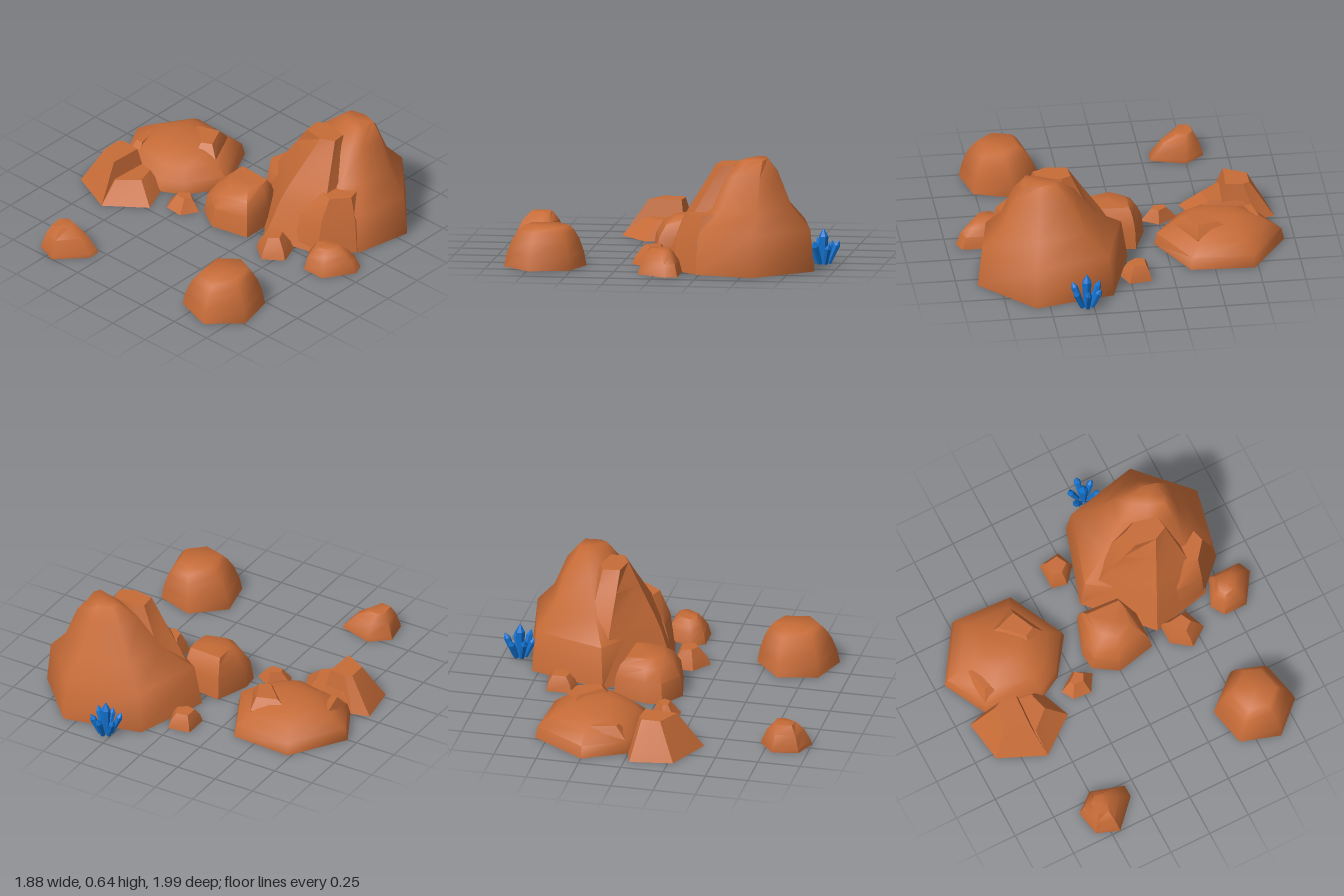
import * as THREE from 'three';
import { toCreasedNormals } from 'three/addons/utils/BufferGeometryUtils.js';

const rockMat = new THREE.MeshStandardMaterial({ color: 0xc66b37 });
rockMat.name = 'rust rock';
const crystalMat = new THREE.MeshStandardMaterial({ color: 0x1272d0 });
crystalMat.name = 'blue crystal';

// Closed stone: base outline blends to the top outline, profile = [height, blend].
// Outlines are [x, z] corners, clockwise from above.
function rock(name, base, top, profile, crease = 0.75) {
  const n = base.length;
  const rings = [[0, 0], ...profile].map(([y, t]) => base.map(([x, z], i) =>
    [x + (top[i][0] - x) * t, y, z + (top[i][1] - z) * t]));
  const pos = rings.flat(2);
  const index = [];
  for (let r = 0; r < rings.length - 1; r++) {
    for (let i = 0; i < n; i++) {
      const a = r * n + i, b = r * n + (i + 1) % n;
      index.push(a, a + n, b, b, a + n, b + n);
    }
  }
  // caps
  const cap = (ring, up) => {
    const c = pos.length / 3, s = rings.indexOf(ring) * n;
    pos.push(...[0, 1, 2].map(k => ring.reduce((sum, p) => sum + p[k], 0) / n));
    for (let i = 0; i < n; i++) {
      const a = s + i, b = s + (i + 1) % n;
      index.push(...(up ? [c, b, a] : [c, a, b]));
    }
  };
  cap(rings[0], false);
  cap(rings[rings.length - 1], true);
  const geo = new THREE.BufferGeometry();
  geo.setAttribute('position', new THREE.Float32BufferAttribute(pos, 3));
  geo.setIndex(index);
  const mesh = new THREE.Mesh(toCreasedNormals(geo, crease), rockMat);
  mesh.name = name;
  return mesh;
}

// One upright shard ringed by six leaning ones
function crystalCluster() {
  const group = new THREE.Group();
  group.name = 'crystalCluster';
  const shard = (h, r, angle, lean, offset) => {
    const profile = [[0, 0], [r * 0.7, 0], [r, h * 0.76], [0, h]].map(p => new THREE.Vector2(...p));
    const geo = new THREE.LatheGeometry(profile, 6).toNonIndexed();
    geo.computeVertexNormals();
    const mesh = new THREE.Mesh(geo, crystalMat);
    mesh.name = 'crystal';
    mesh.rotation.set(0, angle, lean, 'YXZ');
    mesh.position.set(Math.cos(angle) * offset, offset * 0.2, -Math.sin(angle) * offset);
    group.add(mesh);
  };
  shard(0.21, 0.028, 0, 0, 0);
  for (let i = 0; i < 6; i++) {
    shard(i % 2 ? 0.15 : 0.135, 0.02, Math.PI / 6 + i * Math.PI / 3, -0.42, 0.032);
  }
  group.position.set(0.29, 0, -0.9);
  return group;
}

export function createModel() {
  const model = new THREE.Group();
  model.name = 'rockField';

  // Tall rock: main peak, front peak and side ledge
  const tall = new THREE.Group();
  tall.name = 'tallRock';
  tall.add(
    rock('mainPeak',
      [[0.12, -0.79], [0.58, -0.89], [0.88, -0.57], [0.81, -0.24], [0.66, -0.16], [0.3, -0.12], [-0.02, -0.34]],
      [[0.43, -0.59], [0.52, -0.61], [0.6, -0.59], [0.61, -0.5], [0.59, -0.46], [0.5, -0.49], [0.42, -0.54]],
      [[0.24, 0.09], [0.36, 0.47], [0.55, 0.75], [0.64, 1]], 1.2),
    rock('frontPeak',
      [[0.08, -0.5], [0.32, -0.62], [0.68, -0.45], [0.66, -0.07], [0.3, 0.01], [-0.02, -0.34]],
      [[0.32, -0.42], [0.38, -0.45], [0.52, -0.42], [0.53, -0.34], [0.45, -0.3], [0.33, -0.32]],
      [[0.24, 0.3], [0.33, 0.46], [0.48, 0.77], [0.595, 1]], 0.5),
    rock('sideLedge',
      [[0.45, -0.5], [0.8, -0.4], [0.8, -0.23], [0.64, -0.07], [0.48, -0.04]],
      [[0.47, -0.4], [0.7, -0.36], [0.73, -0.26], [0.65, -0.16], [0.5, -0.22]],
      [[0.2, 0.3], [0.335, 1]], 0.5));
  model.add(tall);

  // Low domed rock with raised ridges
  const low = new THREE.Group();
  low.name = 'lowRock';
  low.add(
    rock('dome',
      [[-0.73, -0.57], [-0.36, -0.55], [-0.19, -0.21], [-0.34, 0], [-0.47, 0.07], [-0.81, 0], [-0.94, -0.25]],
      [[-0.62, -0.32], [-0.52, -0.33], [-0.45, -0.26], [-0.48, -0.2], [-0.52, -0.18], [-0.6, -0.2], [-0.66, -0.26]],
      [[0.07, 0.06], [0.13, 0.36], [0.175, 0.7], [0.19, 1]], 1.1),
    rock('topRidge',
      [[-0.65, -0.38], [-0.41, -0.47], [-0.29, -0.23], [-0.41, -0.16]],
      [[-0.54, -0.36], [-0.42, -0.4], [-0.36, -0.27], [-0.42, -0.24]],
      [[0.14, 0.2], [0.205, 1]], 0.4),
    rock('sideRidge',
      [[-0.86, -0.24], [-0.74, -0.22], [-0.69, 0], [-0.8, -0.01]],
      [[-0.8, -0.22], [-0.76, -0.22], [-0.73, -0.08], [-0.77, -0.08]],
      [[0.07, 0.1], [0.145, 1]], 0.4));
  model.add(low);

  // Angular rock in front of the low one: shelf and peak
  const angular = new THREE.Group();
  angular.name = 'angularRock';
  angular.add(
    rock('shelf',
      [[-0.92, 0.03], [-0.82, 0], [-0.47, 0.03], [-0.39, 0.23], [-0.61, 0.4], [-0.88, 0.28]],
      [[-0.78, 0.05], [-0.74, 0.03], [-0.54, 0.06], [-0.51, 0.17], [-0.62, 0.27], [-0.78, 0.2]],
      [[0.11, 1]], 0.4),
    rock('peak',
      [[-0.92, 0.03], [-0.82, 0], [-0.59, 0.03], [-0.61, 0.4], [-0.88, 0.28]],
      [[-0.78, 0.07], [-0.74, 0.05], [-0.64, 0.06], [-0.65, 0.25], [-0.78, 0.18]],
      [[0.05, 0.25], [0.21, 1]], 0.4));
  model.add(angular);

  // Single rounded boulders
  model.add(
    rock('middleBoulder',
      [[-0.08, -0.26], [0.16, -0.24], [0.23, -0.1], [0.23, 0.08], [0, 0.13], [-0.14, 0.04], [-0.15, -0.06]],
      [[-0.05, -0.19], [0.15, -0.18], [0.16, -0.12], [0.14, -0.02], [0.04, 0.01], [-0.02, -0.03], [-0.05, -0.08]],
      [[0.12, 0.14], [0.19, 0.5], [0.235, 1]], 0.8),
    rock('frontBoulder',
      [[0.54, 0.44], [0.76, 0.51], [0.815, 0.74], [0.64, 0.905], [0.41, 0.83], [0.36, 0.6]],
      [[0.59, 0.53], [0.68, 0.57], [0.71, 0.71], [0.62, 0.79], [0.51, 0.76], [0.49, 0.61]],
      [[0.08, 0.14], [0.16, 0.42], [0.21, 0.72], [0.24, 1]], 1.1),
    rock('frontLeftStone',
      [[-0.5, 0.71], [-0.3, 0.77], [-0.3, 0.84], [-0.45, 1], [-0.58, 0.95], [-0.61, 0.8]],
      [[-0.51, 0.79], [-0.46, 0.8], [-0.45, 0.84], [-0.48, 0.91], [-0.54, 0.9], [-0.55, 0.82]],
      [[0.02, 0.04], [0.1, 0.48], [0.15, 1]], 1),
    rock('rightStone',
      [[0.71, -0.14], [0.91, -0.14], [0.94, -0.07], [0.83, 0.1], [0.69, 0.1], [0.64, 0.02]],
      [[0.73, -0.07], [0.81, -0.07], [0.83, -0.04], [0.79, 0.03], [0.73, 0.04], [0.7, 0]],
      [[0.07, 0.25], [0.11, 0.6], [0.145, 1]], 1));

  // Small chipped stones
  model.add(
    rock('ledgeChip',
      [[0.33, -0.01], [0.5, -0.02], [0.55, 0.11], [0.44, 0.19], [0.33, 0.11]],
      [[0.37, 0.03], [0.45, 0.02], [0.48, 0.08], [0.43, 0.12], [0.38, 0.09]],
      [[0.05, 0.3], [0.11, 1]], 0.4),
    rock('centreChip',
      [[-0.25, 0.01], [-0.15, 0.07], [-0.21, 0.17], [-0.32, 0.16], [-0.36, 0.09]],
      [[-0.25, 0.04], [-0.21, 0.07], [-0.23, 0.11], [-0.29, 0.11], [-0.3, 0.08]],
      [[0.075, 1]], 0.4),
    rock('backChip',
      [[-0.12, -0.65], [0.01, -0.67], [0.05, -0.57], [-0.03, -0.48], [-0.12, -0.5]],
      [[-0.09, -0.62], [-0.02, -0.63], [0.01, -0.57], [-0.04, -0.53], [-0.09, -0.54]],
      [[0.05, 0.35], [0.09, 1]], 0.4));

  model.add(crystalCluster());
  return model;
}
